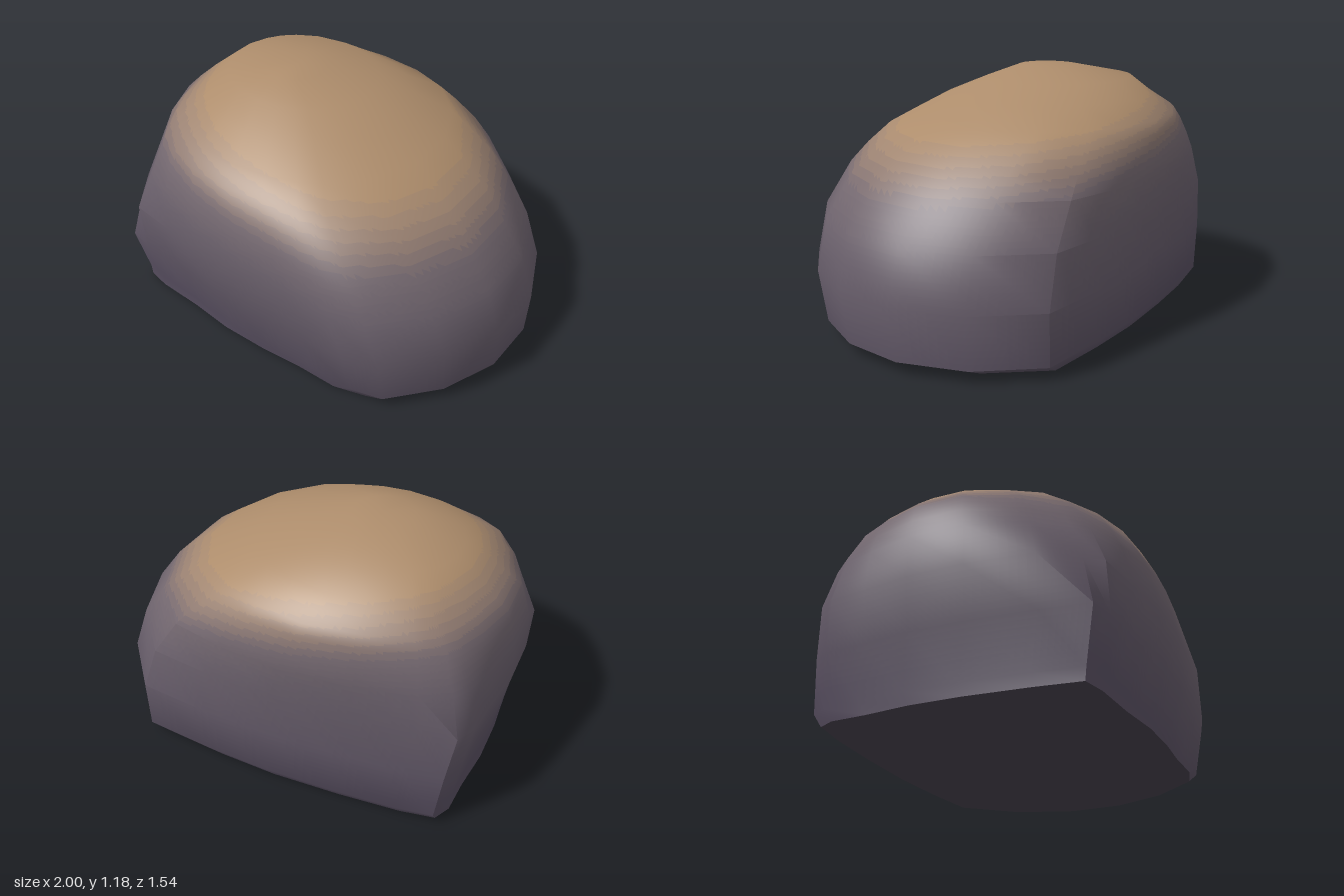
import * as THREE from 'three';
import { toCreasedNormals } from 'three/addons/utils/BufferGeometryUtils.js';

// Footprint of the boulder as [x, z], clockwise from above
const OUTLINE = [
  [-1, -0.41], [-0.97, -0.5], [-0.8, -0.56], [-0.48, -0.64], [-0.12, -0.715], [0.2, -0.755],
  [0.54, -0.78], [0.81, -0.56], [0.97, -0.27], [1, 0.03], [0.92, 0.32], [0.75, 0.57],
  [0.59, 0.635], [0.36, 0.665], [0.13, 0.71], [-0.14, 0.745], [-0.4, 0.75], [-0.67, 0.77],
  [-0.8, 0.76], [-0.86, 0.55], [-0.93, 0.25], [-0.97, 0], [-0.98, -0.23],
];

// Height, x range, z range, and how far the footprint is rounded to an oval
const LEVELS = [
  [0, -0.93, 0.86, -0.72, 0.71, 0],
  [0.06, -0.94, 0.98, -0.77, 0.715, 0],
  [0.3, -0.97, 1, -0.77, 0.765, 0.03],
  [0.53, -1, 0.925, -0.74, 0.775, 0.12],
  [0.72, -0.98, 0.78, -0.72, 0.75, 0.4],
  [0.81, -0.96, 0.685, -0.705, 0.715, 0.55],
  [0.9, -0.935, 0.56, -0.67, 0.67, 0.7],
  [0.96, -0.885, 0.45, -0.635, 0.58, 0.8],
  [1.04, -0.795, 0.28, -0.5, 0.455, 0.95],
  [1.115, -0.7, 0.08, -0.38, 0.3, 1],
  [1.17, -0.43, -0.15, -0.13, 0.16, 1],
];

// Slanting facet that trims the upper front corner on the -x side
const FACET = { normal: [-0.657, 0.4, 0.64], distance: 1.14 };

// Stone colour against height, from the foot of the wall to the sandy crown
const STOPS = [
  [0, 0x574e60], [0.6, 0x6a606b], [0.78, 0x74686f], [0.92, 0xa08570], [1.0, 0xb08e6a],
].map(([h, hex]) => [h, new THREE.Color(hex)]);
const SHADES = 32;

// Pull a point horizontally back onto the slanting facet
function trim([x, y, z]) {
  const [nx, ny, nz] = FACET.normal;
  const excess = Math.max(0, nx * x + ny * y + nz * z - FACET.distance) / (nx * nx + nz * nz);
  return [x - nx * excess, y, z - nz * excess];
}

// One horizontal section, fitted to its x and z ranges
function section([y, x0, x1, z0, z1, round]) {
  const ring = OUTLINE.map(([x, z]) => {
    const a = Math.atan2(z / 0.78, x);
    return [THREE.MathUtils.lerp(x, Math.cos(a), round), THREE.MathUtils.lerp(z / 0.78, Math.sin(a), round)];
  });
  const fit = (axis, lo, hi) => {
    const v = ring.map((p) => p[axis]);
    const min = Math.min(...v), max = Math.max(...v);
    return v.map((t) => THREE.MathUtils.mapLinear(t, min, max, lo, hi));
  };
  const xs = fit(0, x0, x1), zs = fit(1, z0, z1);
  return xs.map((x, i) => trim([x, y, zs[i]]));
}

// Closed skin; the underside fan comes first
function buildSkin() {
  const rings = LEVELS.map(section);
  const n = OUTLINE.length;
  const top = rings[rings.length - 1];
  const pos = [];
  const tri = (...corners) => corners.forEach((c) => pos.push(...c));
  for (let i = 0; i < n; i++) tri([0, 0, 0], rings[0][i], rings[0][(i + 1) % n]);
  for (let k = 0; k < rings.length - 1; k++) {
    for (let i = 0; i < n; i++) {
      const j = (i + 1) % n;
      const a = rings[k][i], b = rings[k][j], c = rings[k + 1][j], d = rings[k + 1][i];
      tri(a, c, b);
      tri(a, d, c);
    }
  }
  for (let i = 0; i < n; i++) tri([-0.29, 1.178, 0], top[(i + 1) % n], top[i]);
  const geometry = new THREE.BufferGeometry();
  geometry.setAttribute('position', new THREE.Float32BufferAttribute(pos, 3));
  return toCreasedNormals(geometry, 0.78);
}

// Split a triangle into quarters, keeping its smooth normals
function split(corners, depth, emit) {
  if (depth === 0) return emit(corners);
  const mid = (u, v) => ({
    p: u.p.clone().lerp(v.p, 0.5),
    n: u.n.clone().lerp(v.n, 0.5).normalize(),
  });
  const [a, b, c] = corners;
  const ab = mid(a, b), bc = mid(b, c), ca = mid(c, a);
  for (const t of [[a, ab, ca], [ab, b, bc], [ca, bc, c], [ab, bc, ca]]) split(t, depth - 1, emit);
}

function stoneColor(h) {
  const k = Math.max(1, STOPS.findIndex(([limit]) => h <= limit));
  const [h0, c0] = STOPS[k - 1], [h1, c1] = STOPS[k];
  return c0.clone().lerp(c1, (h - h0) / (h1 - h0));
}

function piece(name, triangles, color) {
  const corners = triangles.flat();
  const geometry = new THREE.BufferGeometry();
  geometry.setAttribute('position', new THREE.Float32BufferAttribute(corners.flatMap((v) => v.p.toArray()), 3));
  geometry.setAttribute('normal', new THREE.Float32BufferAttribute(corners.flatMap((v) => v.n.toArray()), 3));
  const mesh = new THREE.Mesh(geometry, new THREE.MeshStandardMaterial({ color }));
  mesh.name = name;
  return mesh;
}

export function createModel() {
  const boulder = new THREE.Group();
  boulder.name = 'boulder';
  const skin = buildSkin();
  const position = skin.getAttribute('position'), normal = skin.getAttribute('normal');
  const underside = [];
  const bands = Array.from({ length: SHADES }, () => []);

  // Sort the skin into colour bands, the sandy crown reaching lower on the +x side
  for (let i = 0; i < position.count; i += 3) {
    const corners = [i, i + 1, i + 2].map((k) => ({
      p: new THREE.Vector3().fromBufferAttribute(position, k),
      n: new THREE.Vector3().fromBufferAttribute(normal, k),
    }));
    if (i < OUTLINE.length * 3) {
      underside.push(corners);
      continue;
    }
    split(corners, 3, (t) => {
      const h = t.reduce((sum, { p }) => sum + p.y + 0.13 * p.x, 0) / 3;
      bands[THREE.MathUtils.clamp(Math.floor(h * SHADES), 0, SHADES - 1)].push(t);
    });
  }
  boulder.add(piece('underside', underside, 0x453f4a));
  bands.forEach((triangles, k) => {
    const h = (k + 0.5) / SHADES;
    const part = h < 0.78 ? 'wallBand' : 'crownBand';
    if (triangles.length) boulder.add(piece(part + (k + 1), triangles, stoneColor(h)));
  });
  return boulder;
}
